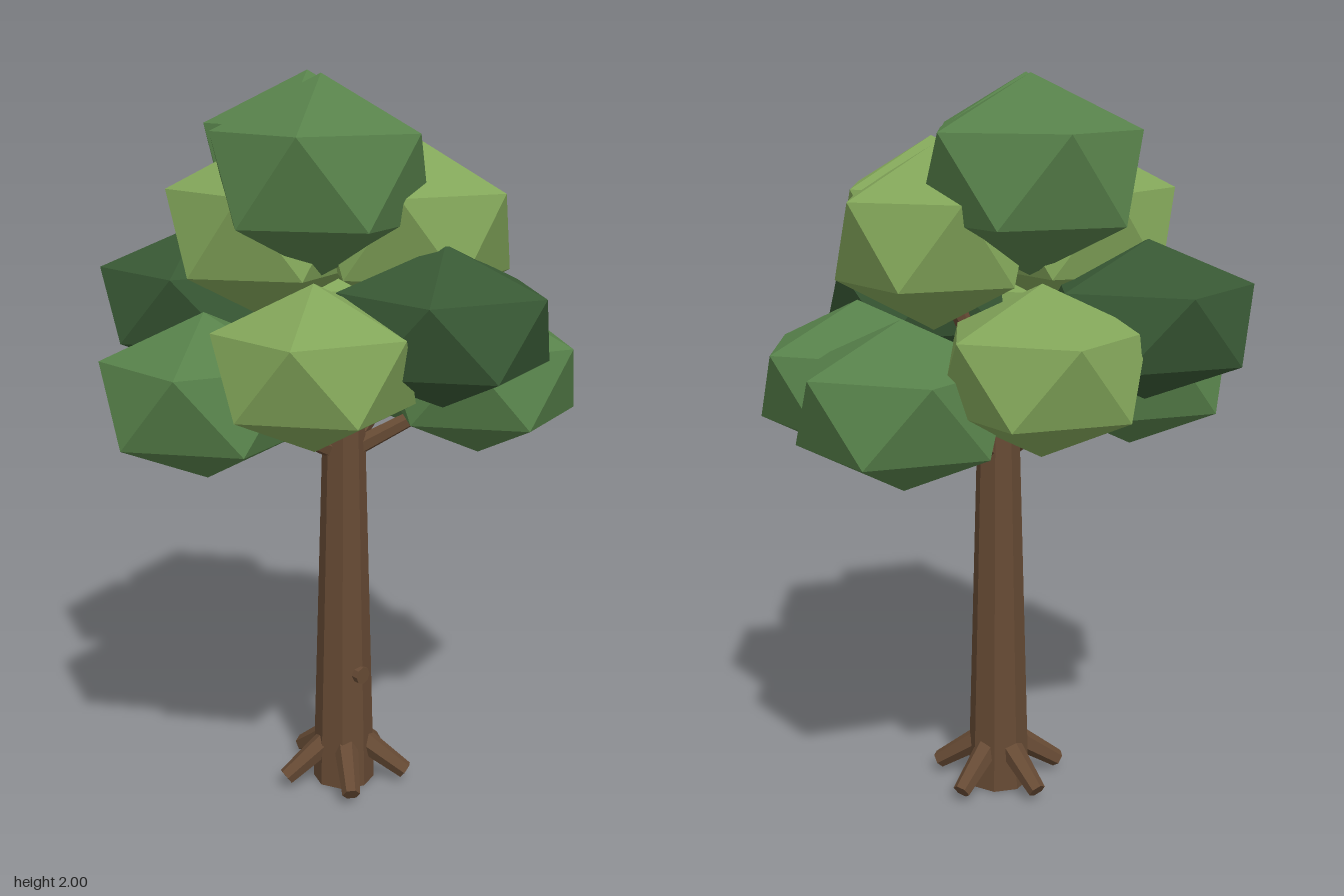
import * as THREE from 'three';

const mat = (name, color) => {
  const m = new THREE.MeshStandardMaterial({ color, flatShading: true });
  m.name = name;
  return m;
};

export function createModel() {
  const tree = new THREE.Group();
  tree.name = 'tree';
  const bark = mat('bark brown', 0x664a34);
  const mid = mat('leaf green', 0x57814a);
  const light = mat('light leaf green', 0x82a559);
  const dark = mat('dark leaf green', 0x385834);

  const add = (name, geometry, material) => {
    const mesh = new THREE.Mesh(geometry, material);
    mesh.name = name;
    tree.add(mesh);
    return mesh;
  };

  // Tapered six-sided limb between two points
  const limb = (name, from, to, r0, r1) => {
    const dir = to.clone().sub(from);
    const mesh = add(name, new THREE.CylinderGeometry(r1, r0, dir.length(), 6), bark);
    mesh.position.copy(from).addScaledVector(dir, 0.5);
    mesh.quaternion.setFromUnitVectors(new THREE.Vector3(0, 1, 0), dir.normalize());
  };
  const polar = (angle, r, y) => new THREE.Vector3(Math.cos(angle) * r, y, Math.sin(angle) * r);

  // Trunk
  const trunk = add('trunk', new THREE.CylinderGeometry(0.053, 0.088, 1.25, 8), bark);
  trunk.position.y = 0.625;

  // Knot on the front of the trunk
  const knot = add('knot', new THREE.CylinderGeometry(0.025, 0.025, 0.025, 8), bark);
  knot.rotation.x = Math.PI / 2;
  knot.position.set(-0.005, 0.345, 0.074);

  // Five roots, one pointing straight back
  for (let i = 0; i < 5; i++) {
    const a = -Math.PI / 2 + (i * Math.PI * 2) / 5;
    limb('root', polar(a, 0.05, 0.125), polar(a, 0.182, 0.034), 0.035, 0.025);
  }

  // Branches: direction x, z, then start height, reach, end height
  [
    [-0.40, -0.10, 0.99, 0.24, 1.10],
    [0.39, -0.12, 0.99, 0.24, 1.10],
    [0.31, 0.215, 0.99, 0.24, 1.10],
    [-0.32, 0.24, 1.07, 0.24, 1.21],
    [0.16, -0.39, 1.07, 0.24, 1.21],
    [0, 0.37, 1.15, 0.22, 1.36],
    [-0.19, -0.38, 1.15, 0.22, 1.36],
    [0.21, 0.05, 1.18, 0.16, 1.48],
    [-0.17, -0.05, 1.18, 0.14, 1.5],
  ].forEach(([x, z, y0, reach, y1]) => {
    const a = Math.atan2(z, x);
    limb('branch', polar(a, 0.02, y0), polar(a, reach, y1), 0.028, 0.02);
  });

  // Leaf clumps: icosahedra standing on one corner, slightly flattened
  const clump = new THREE.IcosahedronGeometry(1, 0);
  clump.rotateZ(-Math.atan(2 / (1 + Math.sqrt(5))));
  [
    // crown
    [mid, -0.16, 1.75, 0.09, 0.31, 0.25],
    [mid, 0.05, 1.75, -0.20, 0.315, 0.25],
    // upper ring
    [light, 0.10, 1.6, 0.165, 0.285, 0.237],
    [light, 0.21, 1.585, 0, 0.285, 0.237],
    [light, -0.17, 1.6, -0.125, 0.285, 0.237],
    // middle ring
    [dark, 0, 1.385, 0.37, 0.305, 0.207],
    [dark, -0.19, 1.385, -0.38, 0.305, 0.207],
    [light, -0.32, 1.305, 0.24, 0.282, 0.21],
    [light, 0.16, 1.295, -0.39, 0.285, 0.215],
    // lower ring
    [mid, 0.39, 1.19, -0.12, 0.302, 0.22],
    [mid, 0.31, 1.19, 0.215, 0.3, 0.22],
    [mid, -0.397, 1.19, -0.096, 0.302, 0.22],
  ].forEach(([material, x, y, z, r, h]) => {
    const mesh = add('leafClump', clump, material);
    mesh.position.set(x, y, z);
    mesh.scale.set(r, h, r);
  });

  return tree;
}
